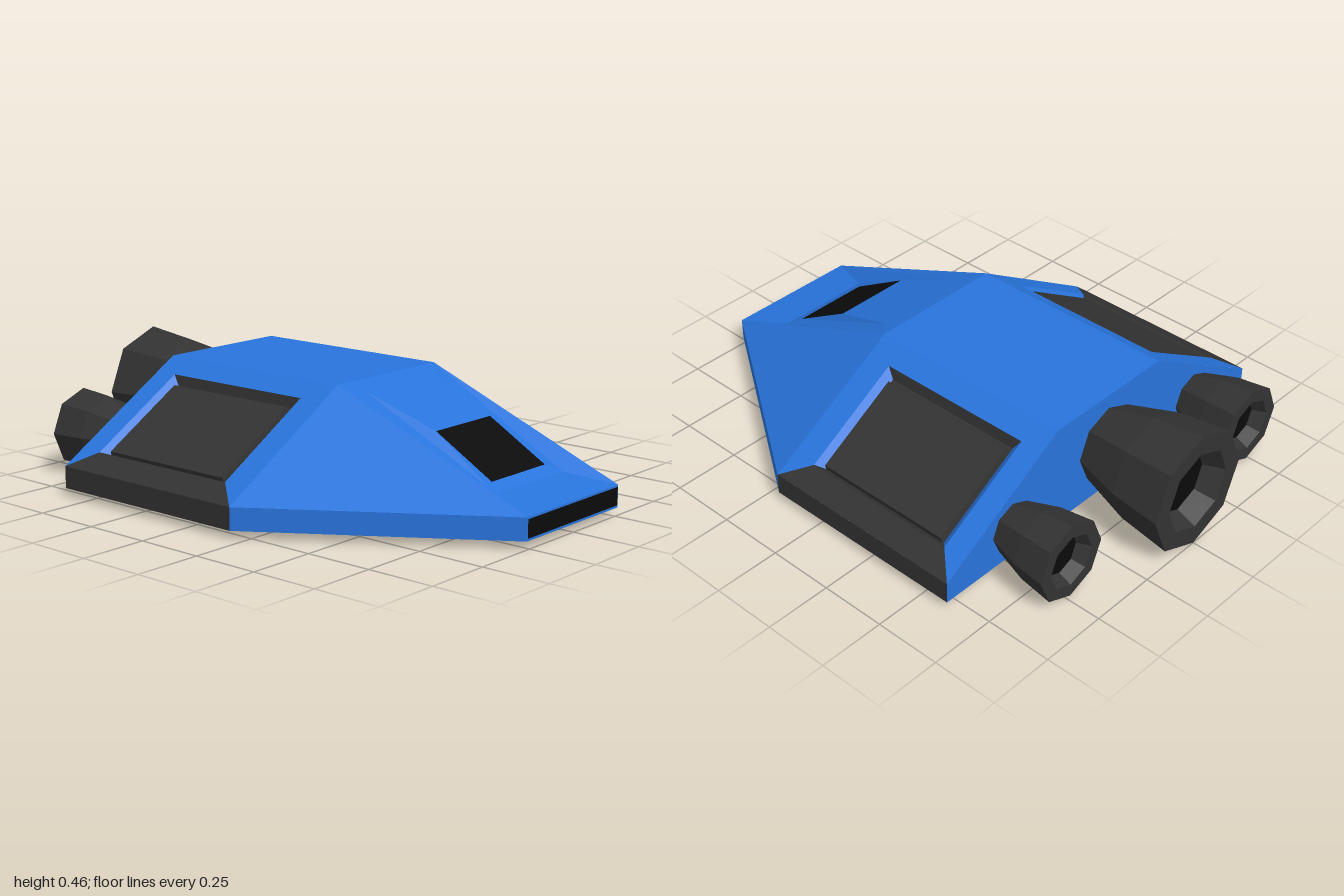
import * as THREE from 'three';

const mat = (color) => new THREE.MeshStandardMaterial({ color, flatShading: true });
const blue = mat(0x2874dc), dark = mat(0x333333), under = mat(0x222222), black = mat(0x0b0b0b);

// Flat polygons wound so that each one faces its given direction
function faces(name, material, list) {
  const pos = [];
  for (const [facing, ...pts] of list) {
    const v = pts.map((p) => new THREE.Vector3(...p));
    const f = new THREE.Vector3(...facing);
    for (let i = 1; i < v.length - 1; i++) {
      const n = v[i].clone().sub(v[0]).cross(v[i + 1].clone().sub(v[0]));
      const tri = n.dot(f) >= 0 ? [v[0], v[i], v[i + 1]] : [v[0], v[i + 1], v[i]];
      tri.forEach((p) => pos.push(p.x, p.y, p.z));
    }
  }
  const g = new THREE.BufferGeometry();
  g.setAttribute('position', new THREE.Float32BufferAttribute(pos, 3));
  g.computeVertexNormals();
  const mesh = new THREE.Mesh(g, material);
  mesh.name = name;
  return mesh;
}

const UP = [0, 1, 0], FRONT = [0, 0, 1], BACK = [0, 0, -1];
const W = 0.8, R = 0.265, Y0 = 0.03, Y1 = 0.11, Y2 = 0.43, ZB = -0.61, ZM = 0.2, ZF = 1;

// Point on the sloping flank at x, z, sunk by depth along the flank's normal
const flank = (s, x, z, depth = 0) =>
  [s * (x - depth * 0.513), Y2 - (x - R) * 0.598 - depth * 0.858, z];
const ring = (s, x0, x1, z0, z1, depth) =>
  [[x0, z0], [x1, z0], [x1, z1], [x0, z1]].map(([x, z]) => flank(s, x, z, depth));
// Four quads between two rings: front, outer, back, inner
const bridge = (a, b, dirs) => a.map((p, i) => {
  const j = (i + 1) % 4;
  return [dirs[i], p, a[j], b[j], b[i]];
});

function nozzle(name, x, y, k) {
  const group = new THREE.Group();
  group.name = name;
  // Local +y runs backward from the hull
  const profile = [[0.13, -0.05], [0.145, 0], [0.203, 0.19], [0.228, 0.39], [0.155, 0.39], [0.12, 0.31]]
    .map(([r, h]) => new THREE.Vector2(r, h));
  const bell = new THREE.Mesh(new THREE.LatheGeometry(profile, 8), dark);
  bell.name = 'nozzleBell';
  const throat = new THREE.Mesh(new THREE.CylinderGeometry(0.122, 0.122, 0.02, 8), black);
  throat.name = 'nozzleThroat';
  throat.position.y = 0.305;
  group.add(bell, throat);
  group.rotation.x = -Math.PI / 2;
  group.scale.setScalar(k);
  group.position.set(x, y, ZB);
  return group;
}

function flankSide(s, label) {
  const group = new THREE.Group();
  group.name = label + 'Flank';
  const out = [s * 0.513, 0.858, 0];
  const outer = ring(s, R, W, ZM, ZB, 0);
  const hole = ring(s, 0.345, 0.717, 0.1, -0.52, 0);
  const floor = ring(s, 0.37, 0.705, 0.072, -0.49, 0.03);
  const border = bridge(outer, hole, [out, out, out, out]);
  const walls = bridge(hole, floor, [BACK, [-s, 0.6, 0], FRONT, [s, -0.6, 0]]);
  const lid = ring(s, 0.385, 0.7, 0.066, -0.484, 0.006);
  const lidBase = ring(s, 0.38, 0.705, 0.07, -0.488, 0.03);

  group.add(
    faces('flankPlating', blue, [border[0], border[2], border[3], walls[0], walls[2]]),
    faces('flankLowerTrim', dark, [
      border[1], [[s, 0, 0], [s * W, Y0, ZM], [s * W, Y1, ZM], [s * W, Y1, ZB], [s * W, Y0, ZB]],
    ]),
    faces('hatchRecess', dark, [walls[1], walls[3], [out, ...floor]]),
    faces('hatchPanel', dark, [
      [out, ...lid],
      ...bridge(lid, lidBase, [FRONT, [s * 0.858, -0.513, 0], BACK, [-s * 0.858, 0.513, 0]]),
    ]),
    // Angled bow cheek and its lower edge
    faces('bowCheek', blue, [
      [[s, 1, 1], [s * R, Y2, ZM], [s * W, Y1, ZM], [s * R, Y1, ZF]],
      [[s, 0, 0.7], [s * W, Y1, ZM], [s * R, Y1, ZF], [s * R, Y0, ZF], [s * W, Y0, ZM]],
    ]),
  );
  return group;
}

export function createModel() {
  const model = new THREE.Group();
  model.name = 'shuttle';

  // Roof, stern wall and bow edge
  model.add(faces('hullShell', blue, [
    [UP, [-R, Y2, ZB], [R, Y2, ZB], [R, Y2, ZM], [-R, Y2, ZM]],
    [BACK, [-W, Y0, ZB], [W, Y0, ZB], [W, Y1, ZB], [R, Y2, ZB], [-R, Y2, ZB], [-W, Y1, ZB]],
    [FRONT, [-R, Y0, ZF], [R, Y0, ZF], [R, Y1, ZF], [-R, Y1, ZF]],
  ]));
  model.add(faces('underside', under, [
    [[0, -1, 0], [-W, Y0, ZB], [W, Y0, ZB], [W, Y0, ZM], [R, Y0, ZF], [-R, Y0, ZF], [-W, Y0, ZM]],
  ]));

  // Dished nose panel stepping inward to the windscreen
  const loop = (x, yTop, zTop, yLow, zLow) =>
    [[-x, yTop, zTop], [x, yTop, zTop], [x, yLow, zLow], [-x, yLow, zLow]];
  const rim = loop(R, Y2, ZM, Y1, ZF);
  const frame = loop(0.193, 0.405, 0.265, 0.14, 0.82);
  const glass = loop(0.152, 0.3, 0.54, 0.165, 0.775);
  const ups = [UP, UP, UP, UP];
  model.add(faces('nosePanel', blue, [...bridge(rim, frame, ups), ...bridge(frame, glass, ups)]));
  model.add(faces('windscreen', black, [[UP, ...glass]]));

  const slot = new THREE.Mesh(new THREE.BoxGeometry(0.52, 0.064, 0.01), black);
  slot.name = 'bowSlot';
  slot.position.set(0, 0.071, 0.997);
  model.add(slot);

  for (const [s, label] of [[1, 'left'], [-1, 'right']]) {
    model.add(flankSide(s, label), nozzle(label + 'Engine', s * 0.485, 0.157, 0.656));
  }
  model.add(nozzle('mainEngine', 0, 0.23, 1));
  return model;
}
